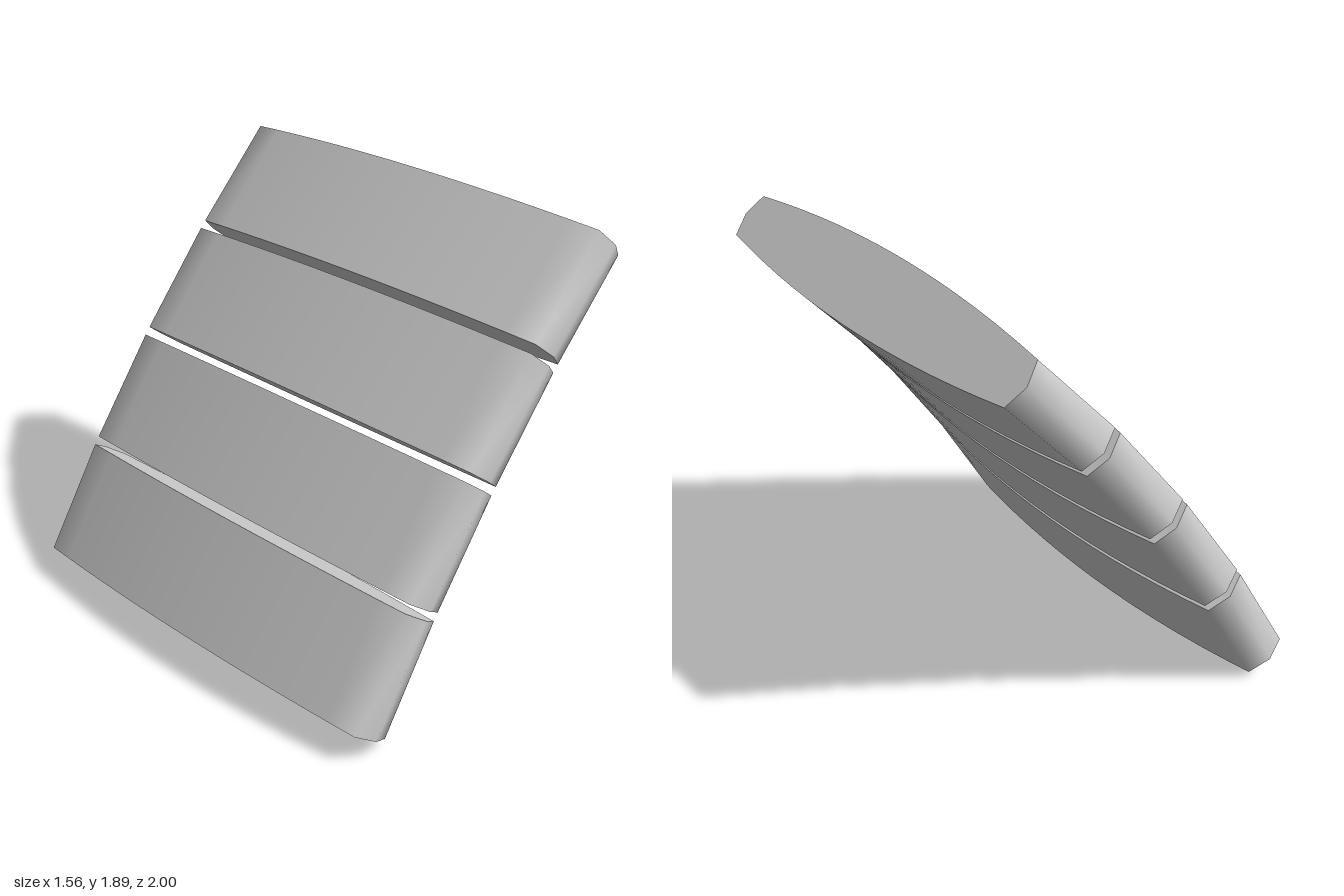
import * as THREE from 'three';

const CENTRE = [6.43, -3.99], RADIUS = 8.16;  // arc that the slabs follow
const START = 30, END = 45, GAP = 0.27, COUNT = 4;  // degrees

// Lens cross-section with pointed noses, as [radial offset, z], counter-clockwise
function lensProfile() {
  const steps = 14, edge = 0.966, side = [[0, -1]];
  for (let i = 0; i <= steps; i++) {
    const t = (i / steps) * 2 - 1;
    side.push([0.1665 - 0.067 * t * t, t * edge]);
  }
  return [...side, ...side.map(([r, z]) => [-r, -z])];
}

// Profile placed at an angle along the arc
function ring(profile, degrees) {
  const a = THREE.MathUtils.degToRad(degrees);
  return profile.flatMap(([r, z]) => [
    CENTRE[0] - (RADIUS + r) * Math.cos(a),
    CENTRE[1] + (RADIUS + r) * Math.sin(a),
    z,
  ]);
}

// Smooth side wall with separate flat end caps
function slabGeometry(profile, from, to) {
  const n = profile.length;
  const rings = [...ring(profile, from), ...ring(profile, to)];
  const index = [];
  for (let i = 0; i < n; i++) {
    const j = (i + 1) % n;
    index.push(i, j, n + j, i, n + j, n + i);
  }
  for (let i = 1; i < n - 1; i++) {
    index.push(2 * n, 2 * n + i + 1, 2 * n + i);  // lower cap
    index.push(3 * n, 3 * n + i, 3 * n + i + 1);  // upper cap
  }
  const geometry = new THREE.BufferGeometry();
  geometry.setAttribute('position', new THREE.Float32BufferAttribute([...rings, ...rings], 3));
  geometry.setIndex(index);
  geometry.computeVertexNormals();
  return geometry;
}

export function createModel() {
  const group = new THREE.Group();
  group.name = 'segmentedPanel';
  const material = new THREE.MeshStandardMaterial({ color: 0xcccccc });
  const profile = lensProfile();
  const span = (END - START - GAP * (COUNT - 1)) / COUNT;

  // Row of slabs along the arc, lowest first
  for (let i = 0; i < COUNT; i++) {
    const from = START + i * (span + GAP);
    const slab = new THREE.Mesh(slabGeometry(profile, from, from + span), material);
    slab.name = `slab${i + 1}`;
    group.add(slab);
  }
  return group;
}
